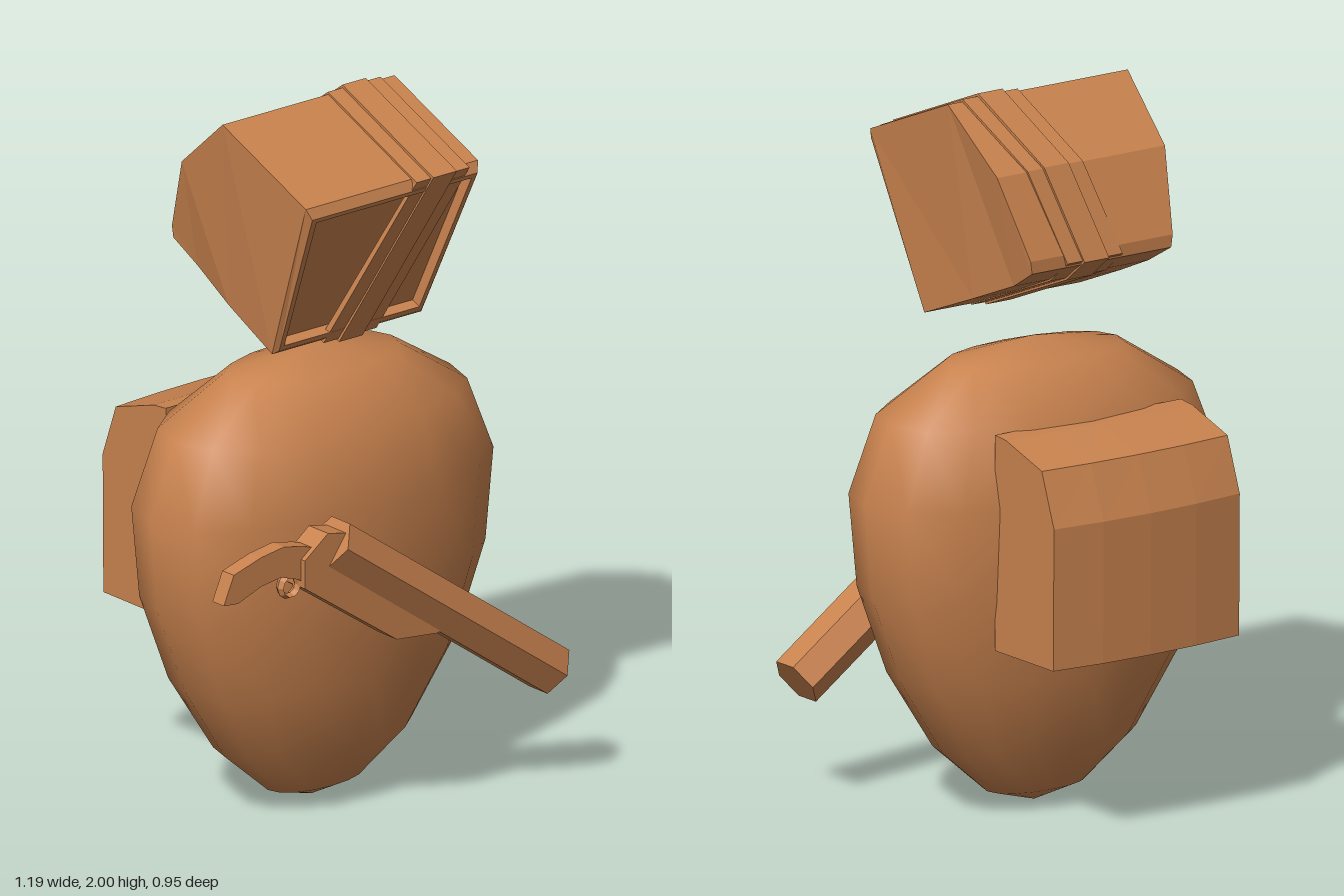
import * as THREE from 'three';
import { mergeVertices } from 'three/addons/utils/BufferGeometryUtils.js';

const clay = new THREE.MeshStandardMaterial({ color: 0xc8824e });
clay.name = 'warm clay';

function add(parent, name, geometry) {
  const mesh = new THREE.Mesh(geometry, clay);
  mesh.name = name;
  parent.add(mesh);
  return mesh;
}

// Flat-faced version of a geometry
function flat(geometry) {
  const g = geometry.index ? geometry.toNonIndexed() : geometry;
  g.computeVertexNormals();
  return g;
}

// Skin a list of equal-length cross-section loops; close them into a ring or cap both ends
function loft(sections, ring = false) {
  const n = sections[0].length, count = sections.length, tris = [];
  for (let s = 0; s < (ring ? count : count - 1); s++) {
    const p = sections[s], q = sections[(s + 1) % count];
    for (let i = 0; i < n; i++) {
      const j = (i + 1) % n;
      tris.push([p[i], p[j], q[j]], [p[i], q[j], q[i]]);
    }
  }
  if (!ring) {
    const a = sections[0], b = sections[count - 1];
    for (let i = 1; i < n - 1; i++) tris.push([a[0], a[i + 1], a[i]], [b[0], b[i], b[i + 1]]);
  }
  // Turn the faces outward
  const V = (a) => new THREE.Vector3(...a);
  const volume = tris.reduce((sum, [a, b, c]) => sum + V(a).dot(V(b).cross(V(c))), 0);
  if (volume < 0) tris.forEach((t) => t.reverse());
  const g = new THREE.BufferGeometry();
  g.setAttribute('position', new THREE.Float32BufferAttribute(tris.flat(2), 3));
  g.computeVertexNormals();
  return g;
}

// Egg-shaped body: rows of height, half width, half depth
function bodyGeometry() {
  const rows = [
    [0.005, 0, 0], [0.05, 0.155, 0.085], [0.18, 0.305, 0.175], [0.4, 0.445, 0.25], [0.65, 0.54, 0.285],
    [0.91, 0.565, 0.298], [1.12, 0.48, 0.262], [1.25, 0.275, 0.142], [1.295, 0, 0],
  ];
  const sides = 16;
  const g = new THREE.LatheGeometry(rows.map(([y, r]) => new THREE.Vector2(r, y)), sides);
  const pos = g.attributes.position;
  for (let k = 0; k < pos.count; k++) {
    const a = (Math.floor(k / rows.length) % sides) / sides * Math.PI * 2;
    const c = Math.cos(a), [y, w, d] = rows[k % rows.length];
    pos.setXYZ(k, w * Math.sin(a), y, d * Math.sign(c) * Math.abs(c) ** 0.85);
  }
  g.deleteAttribute('uv');
  g.deleteAttribute('normal');
  const smooth = mergeVertices(g, 1e-4);
  smooth.computeVertexNormals();
  return smooth;
}

// Tilted head with a recessed face: top y, z, half width, bottom y, z, half width
function headGeometry() {
  return loft([
    [1.812, 0.361, 0.27, 1.402, 0.184, 0.235],
    [1.8, 0.389, 0.27, 1.39, 0.212, 0.235],
    [1.812, 0.393, 0.288, 1.375, 0.205, 0.248],
    [1.842, 0.38, 0.3, 1.365, 0.19, 0.26],
    [1.985, 0.03, 0.3, 1.445, -0.01, 0.245],
    [1.82, -0.165, 0.28, 1.51, -0.165, 0.225],
    [1.6, -0.258, 0.237, 1.565, -0.258, 0.232],
  ].map(([ty, tz, tw, by, bz, bw]) => [
    [-tw, ty, tz], [tw, ty, tz], [bw, by, bz], [-bw, by, bz],
  ]));
}

// Diagonal band wrapped around the head
function bandGeometry(halfWidth, scale) {
  const path = [
    [1.835, 0.395, 0.18], [1.985, 0.03, 0.18], [1.82, -0.165, 0.11],
    [1.58, -0.262, 0.05], [1.51, -0.165, 0.035], [1.365, 0.195, 0.025],
  ];
  const cy = 1.67, cz = 0.06;
  return loft(path.map(([y, z, x]) => {
    const at = (side, s) => [x + side * halfWidth - 0.02, cy + (y - cy) * s, cz + (z - cz) * s];
    return [at(-1, 0.96), at(1, 0.96), at(1, scale), at(-1, scale)];
  }), true);
}

// Backpack with a gently bowed back
function packGeometry() {
  const profile = [
    [1.115, -0.19, 0], [1.11, -0.24, 0.3], [1.06, -0.4, 0.8], [0.91, -0.455, 1],
    [0.515, -0.452, 1], [0.515, -0.19, 0],
  ];
  const sections = [];
  for (let i = 0; i <= 4; i++) {
    const u = i / 2 - 1;
    sections.push(profile.map(([y, z, bow]) => [u * 0.31, y, z - 0.02 * bow * (1 - u * u)]));
  }
  return loft(sections);
}

// Extruded outline centred on z = 0
function plate(outline, depth) {
  const shape = new THREE.Shape(outline.map(([x, y]) => new THREE.Vector2(x, y)));
  const g = new THREE.ExtrudeGeometry(shape, { depth, bevelEnabled: false });
  return flat(g.translate(0, 0, -depth / 2));
}

export function createModel() {
  const model = new THREE.Group();
  model.name = 'figure';

  add(model, 'body', bodyGeometry()).position.set(0.025, 0, 0.04);

  const head = new THREE.Group();
  head.name = 'headGroup';
  head.position.x = 0.02;
  model.add(head);
  add(head, 'head', headGeometry());
  add(head, 'wideBand', bandGeometry(0.092, 1.022));
  add(head, 'raisedBand', bandGeometry(0.041, 1.048));

  add(model, 'backpack', packGeometry()).position.x = 0.015;

  // Long gun slung diagonally across the front
  const gun = new THREE.Group();
  gun.name = 'gun';
  gun.position.z = 0.397;
  model.add(gun);
  const start = new THREE.Vector2(-0.21, 0.88), end = new THREE.Vector2(0.555, 0.338);
  const dir = end.clone().sub(start);
  const barrel = add(gun, 'barrel', flat(new THREE.CylinderGeometry(0.076, 0.076, dir.length(), 6)));
  barrel.position.set((start.x + end.x) / 2, (start.y + end.y) / 2, 0);
  barrel.rotation.z = Math.atan2(-dir.x, dir.y);
  add(gun, 'foreStock', plate([
    [-0.33, 0.865], [-0.25, 0.925], [-0.18, 0.91], [0.25, 0.58], [0.13, 0.55], [-0.01, 0.565], [-0.33, 0.785],
  ], 0.08));
  add(gun, 'grip', plate([
    [-0.6, 0.795], [-0.55, 0.79], [-0.47, 0.82], [-0.4, 0.83], [-0.34, 0.81], [-0.28, 0.77],
    [-0.26, 0.88], [-0.32, 0.9], [-0.39, 0.915], [-0.47, 0.903], [-0.565, 0.875],
  ], 0.048));
  const guard = add(gun, 'triggerGuard', flat(new THREE.TorusGeometry(0.03, 0.008, 4, 10)));
  guard.position.set(-0.355, 0.79, 0);
  guard.scale.z = 2;
  return model;
}
